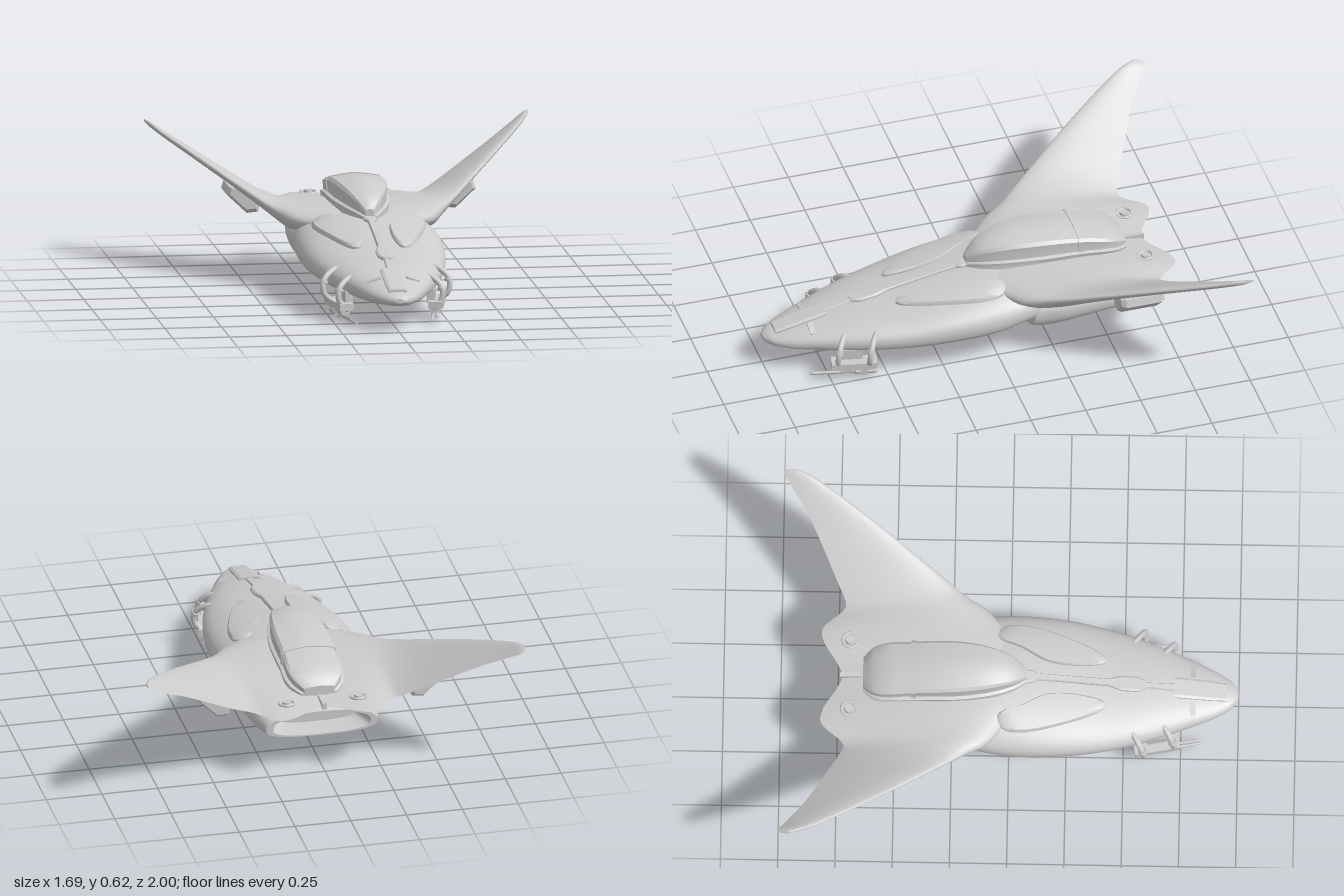
import * as THREE from 'three';
import { toCreasedNormals } from 'three/addons/utils/BufferGeometryUtils.js';

const V = (x, y, z) => new THREE.Vector3(x, y, z);
const grey = new THREE.MeshStandardMaterial({ color: 0xcccccc });

// Smooth lookup in a table of [key, ...values], keys rising
function table(rows) {
  const size = rows[0].length - 1;
  const f = new THREE.CubicInterpolant(rows.map(r => r[0]), rows.flatMap(r => r.slice(1)), size, new Float32Array(size));
  return k => [...f.evaluate(k)];
}
const range = (a, b, n) => Array.from({ length: n + 1 }, (_, i) => a + (b - a) * i / n);

// Skin over closed rings of points, with both ends capped
function loft(rings, crease = 0.6) {
  const n = rings[0].length, pos = [], idx = [];
  rings.forEach(r => r.forEach(p => pos.push(p.x, p.y, p.z)));
  for (let i = 0; i < rings.length - 1; i++) for (let j = 0; j < n; j++) {
    const a = i * n + j, b = i * n + (j + 1) % n;
    idx.push(a, a + n, b, b, a + n, b + n);
  }
  [0, rings.length - 1].forEach((k, end) => {
    const c = rings[k].reduce((s, p) => s.add(p), V(0, 0, 0)).divideScalar(n);
    const ci = pos.length / 3;
    pos.push(c.x, c.y, c.z);
    for (let j = 0; j < n; j++) {
      const a = k * n + j, b = k * n + (j + 1) % n;
      end ? idx.push(ci, b, a) : idx.push(ci, a, b);
    }
  });
  const g = new THREE.BufferGeometry();
  g.setAttribute('position', new THREE.Float32BufferAttribute(pos, 3));
  g.setIndex(idx);
  return toCreasedNormals(g, crease);
}

function mirrored(geo) {
  const g = geo.clone().scale(-1, 1, 1);
  const idx = g.index ? [...g.index.array] : [...Array(g.attributes.position.count).keys()];
  for (let i = 0; i < idx.length; i += 3) [idx[i], idx[i + 1]] = [idx[i + 1], idx[i]];
  g.setIndex(idx);
  return g;
}

function rod(a, b, r) {
  const d = b.clone().sub(a);
  const g = new THREE.CylinderGeometry(r, r, d.length(), 10);
  g.applyQuaternion(new THREE.Quaternion().setFromUnitVectors(V(0, 1, 0), d.clone().normalize()));
  return g.translate((a.x + b.x) / 2, (a.y + b.y) / 2, (a.z + b.z) / 2);
}

// Hull sections: z, half width, bottom, waist, top
const hullAt = table([
  [-0.3, 0.27, 0.18, 0.24, 0.34], [-0.1, 0.31, 0.15, 0.22, 0.35], [0, 0.32, 0.12, 0.21, 0.348],
  [0.2, 0.315, 0.1, 0.2, 0.318], [0.4, 0.285, 0.1, 0.18, 0.28], [0.6, 0.23, 0.1, 0.165, 0.25],
  [0.8, 0.15, 0.1, 0.15, 0.21], [0.92, 0.095, 0.11, 0.14, 0.18], [0.98, 0.05, 0.118, 0.14, 0.162], [1, 0.02, 0.13, 0.14, 0.15]]);
const N = 2.2;
function section([w, b, m, t], z, k = 1) {
  const pw = (v, e) => Math.sign(v) * Math.abs(v) ** e;
  return Array.from({ length: 48 }, (_, i) => {
    const a = i / 48 * Math.PI * 2, c = Math.cos(a), s = Math.sin(a), e = s > 0 ? 2 / N : 2 / 2.8;
    return V(w * k * pw(c, e), m + k * (s > 0 ? t - m : m - b) * pw(s, e), z);
  });
}
function topY(x, z) {
  const [w, , m, t] = hullAt(z);
  return m + (t - m) * Math.max(0, 1 - Math.abs(x / w) ** N) ** (1 / N);
}

// Raised pad that follows the top of the hull
function pad(outline, height) {
  const pts = new THREE.CatmullRomCurve3(outline.map(([x, z]) => V(x, 0, z)), true, 'centripetal').getPoints(48).slice(0, -1);
  const c = pts.reduce((s, p) => s.add(p), V(0, 0, 0)).divideScalar(pts.length);
  return loft([[1, -0.02], [1, 0.5 * height], [0.93, height], [0.7, height], [0.45, height], [0.2, height]].map(([k, h]) =>
    pts.map(p => {
      const q = c.clone().lerp(p, k);
      return q.setY(topY(q.x, q.z) + h);
    })));
}

// Rectangular strip along the hull centreline; rows of z, half width
const strip = (rows, h) => loft(rows.map(([z, w]) => {
  const t = topY(0, z) + h, b = t - 0.05;
  return [V(w, b, z), V(w, t - 0.006, z), V(w * 0.75, t, z), V(-w * 0.75, t, z), V(-w, t - 0.006, z), V(-w, b, z)];
}), 0.4);

export function createModel() {
  const model = new THREE.Group();
  const add = (name, geo) => {
    const m = new THREE.Mesh(geo, grey);
    m.name = name;
    model.add(m);
  };
  const pair = (name, geo) => {
    add(name + 'Left', geo);
    add(name + 'Right', mirrored(geo));
  };

  // Forward hull
  add('hull', loft([...range(1, 0.96, 6), ...range(0.93, -0.3, 40)].map(z => section(hullAt(z), z))));

  // Wings and rear deck in one span: x, leading z, trailing z, height, thickness
  const half = [
    [0, 0.06, -0.73, 0.305, 0.1], [0.06, 0.05, -0.755, 0.305, 0.1], [0.16, 0.02, -0.815, 0.305, 0.105],
    [0.22, -0.02, -0.82, 0.303, 0.11], [0.32, -0.11, -0.72, 0.308, 0.11], [0.36, -0.18, -0.73, 0.325, 0.09],
    [0.42, -0.265, -0.76, 0.357, 0.067], [0.5, -0.38, -0.8, 0.405, 0.052], [0.67, -0.63, -0.89, 0.508, 0.038],
    [0.8, -0.84, -0.98, 0.585, 0.028], [0.83, -0.9, -1, 0.604, 0.024], [0.845, -0.94, -0.985, 0.612, 0.012]];
  const wingAt = table([...half.slice(1).reverse().map(([x, ...r]) => [-x, ...r]), ...half]);
  add('wings', loft(range(-0.845, 0.845, 100).map(x => {
    const [le, te, y, t] = wingAt(x);
    return Array.from({ length: 40 }, (_, i) => {
      const a = i / 40 * Math.PI * 2, s = (1 - Math.cos(a)) / 2;
      return V(x, y + Math.sign(Math.sin(a)) * t * 1.3 * Math.sqrt(s) * (1 - s), le + (te - le) * s);
    });
  }), 0.8));

  // Engine housing with a hollow exhaust
  const engineAt = table([
    [-0.69, 0.25, 0.15, 0.2, 0.265], [-0.6, 0.275, 0.13, 0.2, 0.3], [-0.4, 0.3, 0.105, 0.21, 0.32],
    [-0.2, 0.3, 0.09, 0.21, 0.32], [-0.14, 0.28, 0.11, 0.2, 0.32], [-0.11, 0.2, 0.15, 0.2, 0.3]]);
  const end = engineAt(-0.69);
  add('engineHousing', loft([...range(-0.11, -0.69, 24).map(z => section(engineAt(z), z)),
    section(end, -0.69, 0.88), section(end, -0.58, 0.7)]));

  // Canopy: z, half width, base, top
  const canopyAt = table([
    [-0.64, 0.07, 0.31, 0.365], [-0.6, 0.108, 0.32, 0.4], [-0.42, 0.124, 0.33, 0.455], [-0.2, 0.12, 0.33, 0.48],
    [-0.05, 0.09, 0.33, 0.465], [0.03, 0.055, 0.33, 0.43], [0.075, 0.02, 0.33, 0.385]]);
  const profile = [[1, 0], [0.93, 0.45], [0.96, 0.78], [0.86, 0.88], [0.45, 0.95], [0, 1]];
  const canopyRing = (z, grow = 0, tall = 1) => {
    const [w, b, t] = canopyAt(z);
    const p = profile.map(([u, v]) => V(u * (w + grow), b + v * tall * (t + grow - b), z));
    return [...p, ...p.slice(0, -1).reverse().map(q => V(-q.x, q.y, z))];
  };
  add('canopy', loft(range(0.075, -0.64, 36).map(z => canopyRing(z)), 0.5));
  add('canopySill', loft(range(0.075, -0.64, 36).map(z => canopyRing(z, 0.012, 0.4)), 0.5));
  add('canopyFrame', loft([-0.41, -0.43].map(z => canopyRing(z, 0.005)), 0.5));

  // Raised panels, spine and nose plate
  pair('sidePanel', pad([[0.18, -0.05], [0.235, -0.03], [0.245, 0.08], [0.125, 0.41], [0.095, 0.42],
    [0.07, 0.33], [0.075, 0.17], [0.135, 0.05]], 0.018));
  add('spine', strip([[0.6, 0.015], [0.56, 0.034], [0.49, 0.034], [0.43, 0.016], [0.25, 0.015], [0.12, 0.015], [0.1, 0.028], [0.04, 0.028]], 0.014));
  add('nosePlate', strip([[0.95, 0.04], [0.88, 0.045], [0.8, 0.047], [0.72, 0.047]], 0.012));
  add('noseRail', strip([[0.72, 0.018], [0.6, 0.012]], 0.008));

  // Deck vents and the tail slot
  const ventRing = new THREE.TorusGeometry(0.033, 0.006, 8, 24).rotateX(Math.PI / 2 + 0.1).translate(0.16, 0.325, -0.7);
  pair('ventRing', ventRing);
  pair('ventCap', new THREE.CylinderGeometry(0.018, 0.022, 0.03, 16).translate(0.16, 0.32, -0.7));
  add('tailSlot', new THREE.BoxGeometry(0.02, 0.03, 0.09).translate(0, 0.312, -0.695));

  // Belly keel, a wedge widening to the rear
  add('keel', loft([[0.55, 0.03, 0.085], [0.5, 0.04, 0.075], [0.08, 0.08, 0.042], [0.03, 0.08, 0.04]].map(([z, w, b]) =>
    [V(w, b, z), V(w * 0.9, 0.13, z), V(-w * 0.9, 0.13, z), V(-w, b, z)]), 0.2));

  // Pods under the wings
  const pod = (z, k) => [[0.4, 0.34], [0.41, 0.28], [0.46, 0.275], [0.55, 0.36], [0.54, 0.395], [0.5, 0.395]]
    .map(([x, y]) => V(0.48 + (x - 0.48) * k, 0.365 + (y - 0.365) * k, z));
  pair('wingPod', loft([pod(-0.48, 0.8), pod(-0.5, 1), pod(-0.66, 1), pod(-0.675, 0.85)], 0.2));

  // Gun mounts: hoops, cradle and twin barrels on each side
  [[0, 0, 0], [-0.05, -0.015, 0.13]].forEach(([dx, dy, dz], i) => {
    const path = [[0.15, 0.19, 0.53], [0.19, 0.21, 0.53], [0.24, 0.2, 0.56], [0.277, 0.16, 0.585], [0.275, 0.11, 0.59], [0.235, 0.07, 0.58]]
      .map(([x, y, z]) => V(x + dx, y + dy, z + dz));
    pair('gunHoop' + i, new THREE.TubeGeometry(new THREE.CatmullRomCurve3(path), 24, 0.013, 10));
    for (const k of [1, 3]) pair('hoopCollar' + i + k, rod(path[k].clone().lerp(path[k - 1], 0.12), path[k].clone().lerp(path[k + 1], 0.12), 0.019));
  });
  const cradle = (w, h, d, x, y, z) => new THREE.BoxGeometry(w, h, d).rotateY(-0.2).translate(x, y, z);
  pair('gunCradle', cradle(0.065, 0.03, 0.2, 0.215, 0.072, 0.645));
  pair('gunBody', cradle(0.04, 0.025, 0.15, 0.21, 0.045, 0.63));
  pair('gunArm', cradle(0.035, 0.06, 0.1, 0.19, 0.105, 0.65));
  pair('gunStrut', cradle(0.05, 0.03, 0.03, 0.215, 0.03, 0.6));
  [[0, 0.012], [0.022, 0.03]].forEach(([dx, y], i) => {
    pair('barrel' + i, rod(V(0.215 + dx, y, 0.56), V(0.165 + dx, y + 0.005, 0.83), 0.006));
    pair('breech' + i, rod(V(0.217 + dx, y, 0.55), V(0.2 + dx, y, 0.64), 0.011));
  });

  // Small sensor lugs beside the nose plate
  pair('noseLug', new THREE.BoxGeometry(0.06, 0.02, 0.025).rotateZ(-0.35).translate(0.085, 0.195, 0.8));
  pair('nosePin', rod(V(0.1, 0.19, 0.78), V(0.1, 0.175, 0.84), 0.006));
  return model;
}
